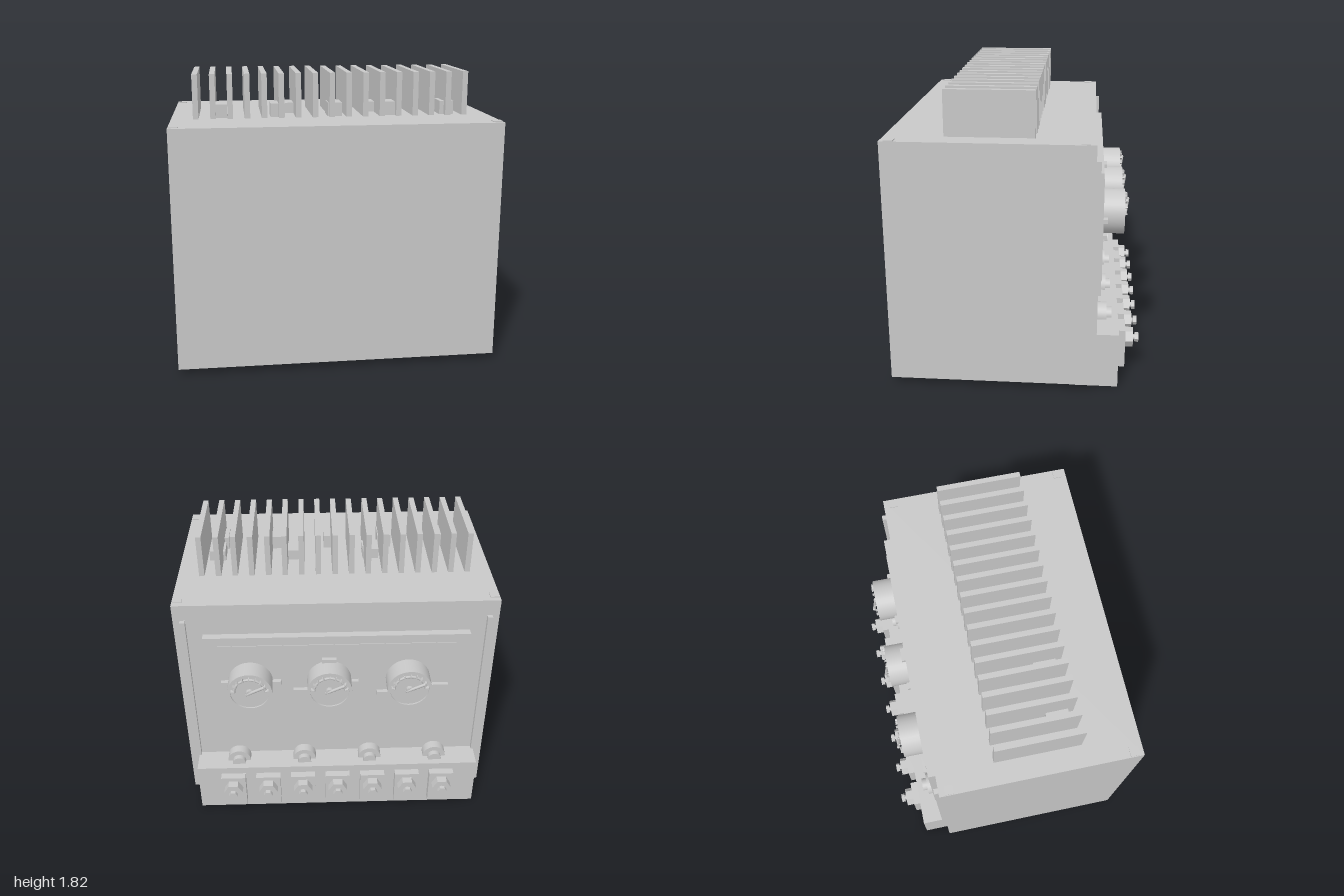
import * as THREE from 'three';

export function createModel() {
  const model = new THREE.Group();
  const grey = new THREE.MeshStandardMaterial({ color: 0xc8c8c8 });
  grey.name = 'light grey';
  const flat = grey.clone();
  flat.flatShading = true;

  const add = (name, geo, x, y, z, mat = grey) => {
    const m = new THREE.Mesh(geo, mat);
    m.name = name;
    m.position.set(x, y, z);
    model.add(m);
    return m;
  };
  // box given by its limits on each axis
  const box = (name, x0, x1, y0, y1, z0, z1) =>
    add(name, new THREE.BoxGeometry(x1 - x0, y1 - y0, z1 - z0),
      (x0 + x1) / 2, (y0 + y1) / 2, (z0 + z1) / 2);
  // cylinder along z, between z0 (inner) and z1 (outer)
  const disc = (name, r, x, y, z0, z1, sides = 24, mat = grey) => {
    const g = new THREE.CylinderGeometry(r, r, z0 - z1, sides);
    if (sides === 6) g.rotateY(Math.PI / 6 * 3);
    g.rotateX(-Math.PI / 2);
    return add(name, g, x, y, (z0 + z1) / 2, mat);
  };

  // case
  box('case', -1, 1, 0.04, 1.54, -0.467, 0.76);
  for (const s of [-1, 1]) {
    for (const z of [0.705, -0.405]) {
      box('cornerPad', s * 0.967 - 0.028, s * 0.967 + 0.028, 1.54, 1.545, z - 0.027, z + 0.027);
    }
    box('sideRail', s * 0.94 - 0.016, s * 0.94 + 0.016, 0.15, 1.435, -0.495, -0.46);
  }

  // cooling fins and the small components between them
  for (let i = 0; i < 17; i++) {
    const x = -0.848 + i * 0.1059;
    box('coolingFin', x - 0.017, x + 0.017, 1.53, 1.815, -0.118, 0.412);
  }
  for (let i = 0; i < 5; i++) {
    const x = -0.70 + i * 0.36;
    box('tallComponent', x - 0.045, x + 0.045, 1.53, 1.625, 0.235, 0.372);
  }
  for (const x of [-0.24, 0.26, 0.76]) {
    box('lowComponent', x - 0.052, x + 0.052, 1.53, 1.607, 0.08, 0.21);
  }

  // rear instrument panel
  box('rearPanel', -0.827, 0.827, 0.553, 1.33, -0.515, -0.46);
  box('panelInlay', -0.74, 0.74, 0.61, 1.272, -0.52, -0.51);

  // gauges: recessed drum, scale arc, ticks, hub and tilted pointer
  const drum = [[0.14, 0], [0.14, 0.133], [0.122, 0.133], [0.122, 0.123], [0, 0.123]];
  const gy = 1.008;
  for (const gx of [-0.45, 0.05, 0.548]) {
    // separate lathe bands keep the edges sharp
    for (let i = 0; i < drum.length - 1; i++) {
      const g = new THREE.LatheGeometry(drum.slice(i, i + 2).map(p => new THREE.Vector2(...p)), 32);
      g.rotateX(-Math.PI / 2);
      add('gaugeDrum', g, gx, gy, -0.517);
    }
    add('scaleArc', new THREE.TorusGeometry(0.098, 0.009, 6, 20, Math.PI), gx, gy, -0.645);
    for (let i = 0; i < 9; i++) {
      const a = Math.PI * (0.05 + 0.9 * i / 8);
      const t = add('scaleTick', new THREE.BoxGeometry(0.022, 0.006, 0.026),
        gx + Math.cos(a) * 0.108, gy + Math.sin(a) * 0.108, -0.652);
      t.rotation.z = a;
    }
    disc('gaugeHub', 0.024, gx, gy, -0.635, -0.664, 16);
    const from = new THREE.Vector3(gx + 0.02, gy - 0.008, -0.655);
    const to = new THREE.Vector3(gx - 0.085, gy + 0.055, -0.673);
    add('gaugePointer', new THREE.TubeGeometry(new THREE.LineCurve3(from, to), 1, 0.01, 8), 0, 0, 0);
    for (const [p, d] of [[from, 1], [to, -1]]) {
      const cap = add('pointerEnd', new THREE.SphereGeometry(0.01, 8, 6), p.x, p.y, p.z);
      cap.scale.setScalar(d * d);
    }
  }

  // small tabs around the gauges
  for (const [x, y, w] of [[0.55, 0.843, 0.09], [0.05, 1.163, 0.09], [0.235, 0.93, 0.09],
    [-0.11, 0.99, 0.05], [-0.30, 0.90, 0.09], [-0.65, 0.95, 0.12], [0.71, 1.0, 0.05], [0.385, 1.0, 0.06]]) {
    box('panelTab', x - w / 2, x + w / 2, y - 0.012, y + 0.012, -0.547, -0.515);
  }

  // terminal block with seven bolted terminals
  box('terminalBlock', -0.938, 0.938, 0, 0.35, -0.63, -0.333);
  for (let i = 0; i < 7; i++) {
    const x = -0.70 + i * 0.2333, y = 0.218;
    box('terminalPlate', x - 0.081, x + 0.081, 0.05, 0.30, -0.677, -0.62);
    disc('terminalNut', 0.062, x, y, -0.67, -0.727, 6, flat);
    disc('boltShaft', 0.017, x, y, -0.72, -0.745, 12);
    disc('boltHead', 0.03, x, y, -0.738, -0.762, 6, flat);
  }

  // knobs seated in the top of the block
  for (const x of [-0.66, -0.22, 0.22, 0.66]) {
    disc('knobBase', 0.076, x, 0.355, -0.495, -0.556);
    disc('knobCap', 0.044, x, 0.355, -0.55, -0.59);
  }
  // one shared material; crisp nuts carry their own flat normals
  model.traverse(o => {
    if (o.isMesh && o.material === flat) {
      o.geometry = o.geometry.toNonIndexed();
      o.geometry.computeVertexNormals();
      o.material = grey;
    }
  });
  return model;
}
